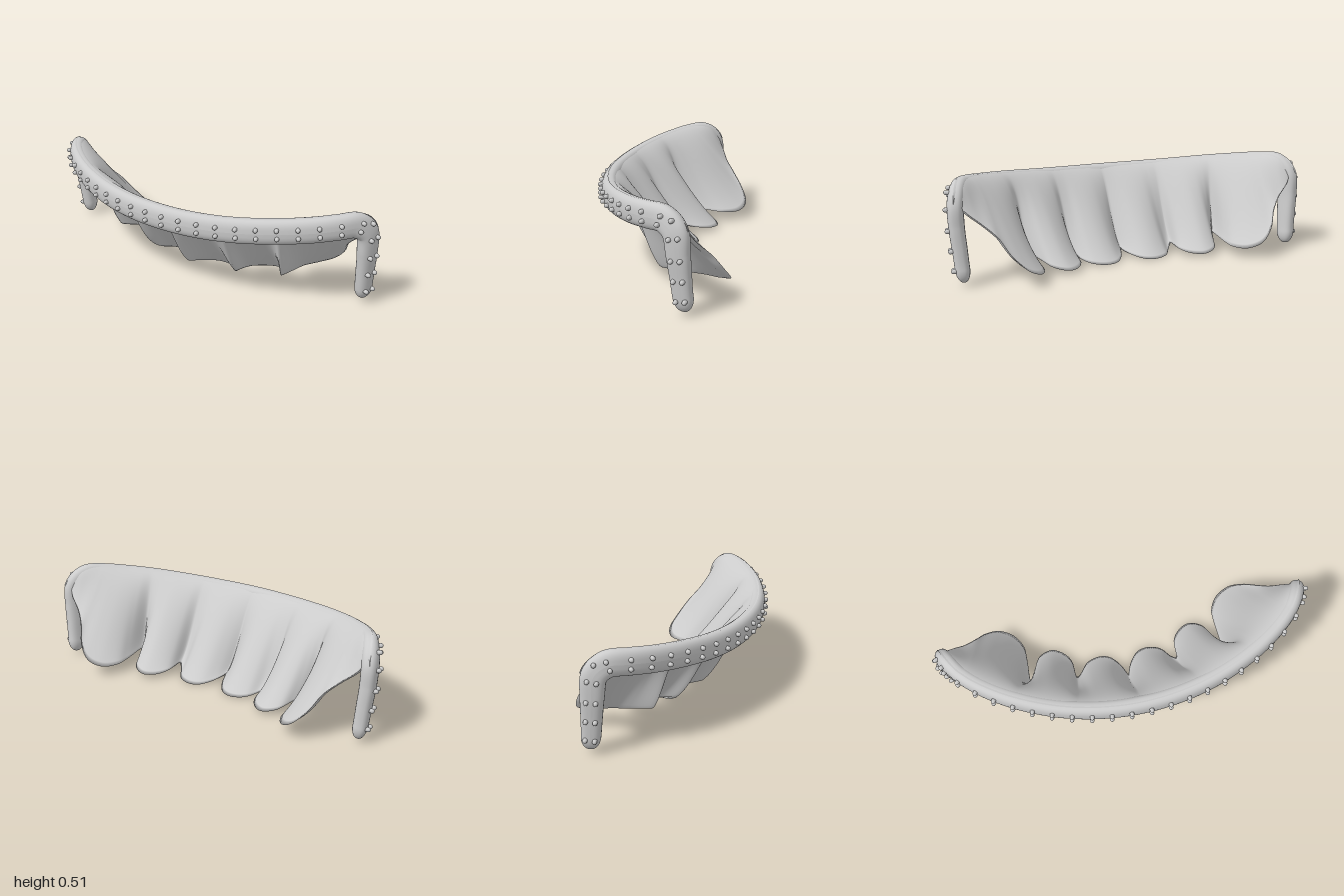
import * as THREE from 'three';

const V = (x, y, z) => new THREE.Vector3(x, y, z);
const grey = new THREE.MeshStandardMaterial({ color: 0xcccccc, side: THREE.DoubleSide });

// Smooth surface from a rule fn(u, v), u and v in 0..1
function surface(name, nu, nv, fn) {
  const pos = [], idx = [];
  for (let i = 0; i <= nu; i++)
    for (let j = 0; j <= nv; j++) pos.push(...fn(i / nu, j / nv).toArray());
  for (let i = 0; i < nu; i++)
    for (let j = 0; j < nv; j++) {
      const a = i * (nv + 1) + j, b = a + 1, c = a + nv + 1, d = c + 1;
      idx.push(a, c, b, b, c, d);
    }
  const g = new THREE.BufferGeometry();
  g.setAttribute('position', new THREE.Float32BufferAttribute(pos, 3));
  g.setIndex(idx);
  g.computeVertexNormals();
  const mesh = new THREE.Mesh(g, grey);
  mesh.name = name;
  return mesh;
}

// Centre line of the band, from the middle to the foot of one hanging end
const half = [
  [0, .40, .305], [.2, .402, .29], [.4, .411, .245], [.6, .428, .165],
  [.75, .443, .075], [.85, .455, -.01], [.908, .455, -.085], [.938, .41, -.135],
  [.94, .3, -.15], [.932, .2, -.16], [.924, .1, -.17], [.918, .03, -.182],
].map(p => V(...p));
const mirrored = half.slice(1).reverse().map(p => V(-p.x, p.y, p.z));
const path = new THREE.CatmullRomCurve3([...mirrored, ...half]);
path.arcLengthDivisions = 600;
const length = path.getLength();

// Position, outward direction, across direction and half sizes along the band
function frame(u) {
  const p = path.getPointAt(u), t = path.getTangentAt(u);
  const a = Math.sign(p.x) * 1.3 * Math.min(1, Math.abs(p.x) / .93) ** 2;
  const n = V(Math.sin(a), 0, Math.cos(a));
  n.addScaledVector(t, -n.dot(t)).normalize();
  const b = n.clone().cross(t);
  const leg = THREE.MathUtils.smoothstep(Math.abs(u - .5) * 2, .65, 1);
  return { p, n, b, high: .065 - .019 * leg, deep: .042 - .006 * leg };
}

// Lower edge of the drape, from the middle to the outer end: three lobes
const hem = new THREE.CatmullRomCurve3([
  [0, .05, .015], [.03, .03, -.06], [.08, .017, -.12], [.14, .014, -.135],
  [.21, .02, -.11], [.255, .035, -.05], [.28, .06, -.028],
  [.29, .045, -.13], [.33, .035, -.19], [.39, .035, -.22], [.46, .05, -.19],
  [.5, .075, -.11], [.53, .095, -.045],
  [.53, .075, -.18], [.535, .067, -.26], [.58, .07, -.335], [.65, .1, -.366],
  [.72, .165, -.34], [.77, .25, -.285], [.83, .31, -.238], [.9, .37, -.205], [.94, .42, -.17],
].map(p => V(...p)));

// The drape rolls over the band and falls back; its lobes arch away from the creases
function drapePoint(u, w) {
  const side = u < .5 ? -1 : 1, s = Math.abs(u - .5) * 2, i = s * 21;
  const v = w < .5 ? 2 * w : 2 - 2 * w;
  const { p, n, b } = frame(.5 + side * s * .375);
  const top = p.addScaledVector(b, .066).addScaledVector(n, .01);
  const shoulder = top.clone().addScaledVector(n, -(.11 + .08 * s) * (1 - s ** 6)).addScaledVector(b, -.01);
  const end = hem.getPoint(s);
  end.x *= side;
  const lobe = Math.abs(Math.sin(Math.PI * (i < 12 ? i / 6 : (i - 12) / 9)));
  const fold = top.clone().lerp(end, .52);
  fold.y -= (1 - s * s) * (.15 - .04 * lobe);
  fold.z -= (1 - s * s) * (.02 + .05 * lobe);
  const q = new THREE.CubicBezierCurve3(top, shoulder, fold, end).getPoint(v);
  // second half of the loop is the inner face, thicker near the band
  if (w > .5) {
    const thick = .015 * Math.sqrt(Math.min(1, (1 - v) * 16));
    q.y -= thick;
    q.z += thick;
    q.addScaledVector(n, .1 * v * (1 - v) ** 2);
  }
  return q;
}

export function createModel() {
  const model = new THREE.Group();
  model.name = 'studdedDrape';

  // Rounded band with hanging ends
  model.add(surface('band', 260, 28, (i, j) => {
    const u = .5 - .5 * Math.cos(Math.PI * i);
    const f = frame(u);
    const gap = Math.min(1, Math.min(u, 1 - u) * length / .065);
    const cap = Math.sqrt(Math.max(0, 1 - (1 - gap) ** 2));
    const c = Math.cos(j * 2 * Math.PI), s = Math.sin(j * 2 * Math.PI);
    const soft = x => Math.sign(x) * Math.abs(x) ** .8;
    return f.p.addScaledVector(f.n, soft(c) * f.deep * cap)
      .addScaledVector(f.b, soft(s) * f.high * cap);
  }));

  // Scalloped drape falling backwards from the band
  model.add(surface('drape', 252, 56, drapePoint));

  // Two rows of studs along the band, plus one extra at each corner
  const studs = new THREE.Group();
  studs.name = 'studs';
  const studShape = new THREE.CapsuleGeometry(.0115, .012, 4, 10);
  const addStud = (d, across) => {
    for (const side of [-1, 1]) {
      const f = frame(.5 + side * d / length);
      const stud = new THREE.Mesh(studShape, grey);
      stud.name = 'stud';
      stud.position.copy(f.p).addScaledVector(f.n, f.deep + .001).addScaledVector(f.b, across);
      stud.quaternion.setFromUnitVectors(V(0, 1, 0), f.n);
      studs.add(stud);
    }
  };
  for (let k = 0; k < 15; k++)
    for (const across of [-.022, .022]) addStud(.05 + .098 * k, across);
  addStud(1.07, .036);
  model.add(studs);
  return model;
}
